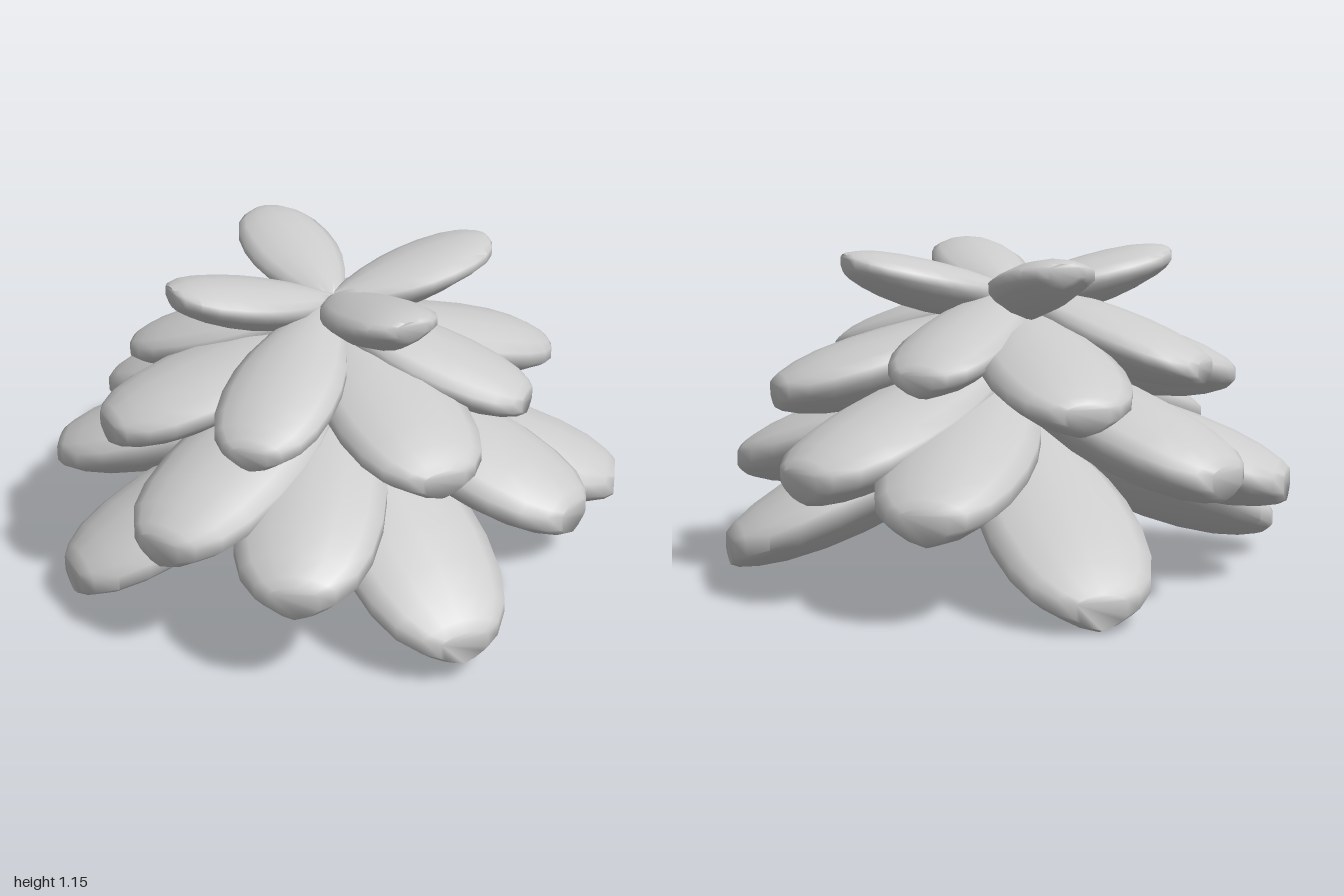
import * as THREE from 'three';
import { toCreasedNormals } from 'three/addons/utils/BufferGeometryUtils.js';

// Leaf stations along its length: position, half-width, dome and belly fractions
const STATIONS = [[0, 0.18, 0.3, 0.4], [0.12, 0.48, 0.6, 0.75], [0.25, 0.72, 0.82, 0.95],
  [0.4, 0.91, 0.95, 1.05], [0.52, 0.99, 1, 1.05], [0.66, 1, 1, 0.97], [0.8, 0.92, 0.9, 0.8],
  [0.9, 0.77, 0.7, 0.6], [0.97, 0.53, 0.45, 0.4], [1, 0.33, 0.28, 0.25]];
// Cross-section positions: over the top, then back underneath
const ACROSS = [-1, -0.8, -0.45, 0, 0.45, 0.8, 1];

// Thick leaf running along +z: rounded top, thin rim, keeled belly
function leafGeometry(length, half, baseY, tipY) {
  const pos = [], index = [], ring = ACROSS.length * 2;
  for (const [t, w, dome, belly] of STATIONS) {
    const y = baseY + (tipY - baseY) * t;
    const rim = 0.025 * length;
    for (const u of ACROSS)
      pos.push(u * w * half, y + rim + 0.09 * length * dome * (1 - Math.abs(u) ** 2.3), t * length);
    for (const u of [...ACROSS].reverse())
      pos.push(u * w * half, y - rim - 0.165 * length * belly * (1 - Math.abs(u) ** 1.6), t * length);
  }
  const last = STATIONS.length - 1;
  for (let i = 0; i < last; i++)
    for (let j = 0; j < ring; j++) {
      const a = i * ring + j, b = i * ring + (j + 1) % ring;
      index.push(a, a + ring, b, b, a + ring, b + ring);
    }
  // close both ends
  for (let j = 1; j < ring - 1; j++) {
    index.push(0, j, j + 1);
    index.push(last * ring, last * ring + j + 1, last * ring + j);
  }
  const g = new THREE.BufferGeometry();
  g.setAttribute('position', new THREE.Float32BufferAttribute(pos, 3));
  g.setIndex(index);
  return toCreasedNormals(g, 1.15);
}

// Tiers of four leaves; turn in degrees from the front, drops lower single leaves
const TIERS = [
  { name: 'crownLeaf', length: 0.6, half: 0.165, baseY: 0.98, tipY: 1.11, turn: 45, z: 0.015 },
  { name: 'upperLeaf', length: 0.73, half: 0.195, baseY: 0.98, tipY: 0.75, turn: 0, z: 0.08 },
  { name: 'shoulderLeaf', length: 0.85, half: 0.235, baseY: 0.9, tipY: 0.67, turn: 45, z: 0.01 },
  { name: 'middleLeaf', length: 0.99, half: 0.245, baseY: 0.75, tipY: 0.44, turn: -15.5, z: 0 },
  { name: 'lowerLeaf', length: 1.01, half: 0.25, baseY: 0.67, tipY: 0.355, turn: 12.5, z: 0 },
  { name: 'bottomLeaf', length: 1.01, half: 0.265, baseY: 0.59, tipY: 0.135, turn: 45, z: 0,
    drops: [0, 0.01, 0.06, 0] },
];

export function createModel() {
  const model = new THREE.Group();
  model.name = 'leafRosette';
  const material = new THREE.MeshStandardMaterial({ color: 0xcccccc });
  for (const tier of TIERS) {
    const geometry = leafGeometry(tier.length, tier.half, tier.baseY, tier.tipY);
    const group = new THREE.Group();
    group.name = tier.name + 'Tier';
    for (let i = 0; i < 4; i++) {
      const leaf = new THREE.Mesh(geometry, material);
      leaf.name = tier.name + (i + 1);
      // order: front right, front left, back left, back right
      leaf.rotation.y = THREE.MathUtils.degToRad(tier.turn - 90 * i);
      leaf.position.set(0, -(tier.drops ? tier.drops[i] : 0), tier.z);
      group.add(leaf);
    }
    model.add(group);
  }
  // stand on the ground
  model.updateMatrixWorld(true);
  const low = new THREE.Box3().setFromObject(model, true).min.y;
  for (const tier of model.children) tier.position.y -= low;
  return model;
}
